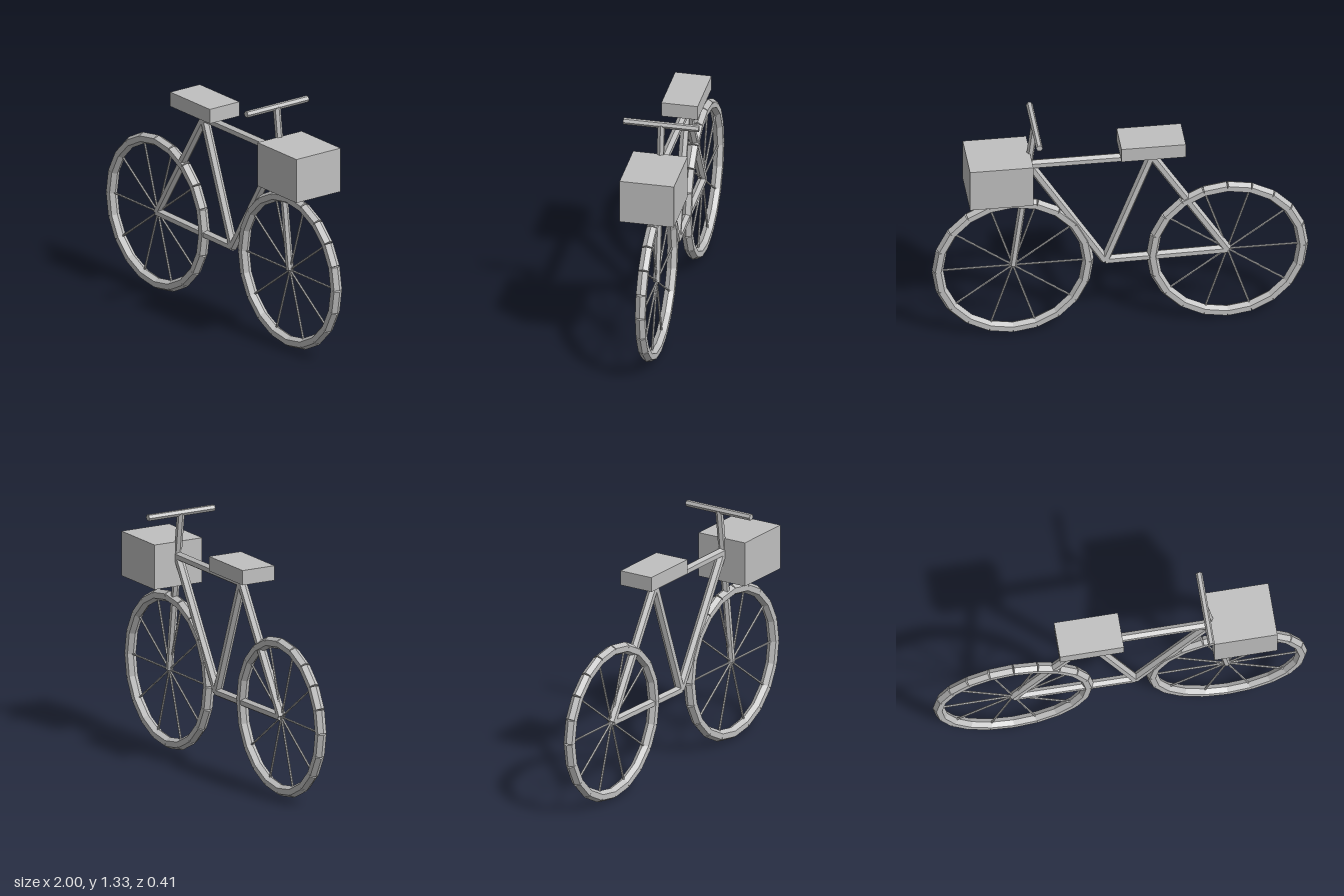
import * as THREE from 'three';

export function createModel() {
  const model = new THREE.Group();
  model.name = 'bicycle';
  const grey = new THREE.MeshStandardMaterial({ color: 0xc0c0c0, flatShading: true });
  grey.name = 'grey';

  const add = (parent, name, geometry) => {
    const mesh = new THREE.Mesh(geometry, grey);
    mesh.name = name;
    parent.add(mesh);
    return mesh;
  };

  // Six-sided rod along y, with flat sides facing front and back
  const rod = (radius, length) =>
    new THREE.CylinderGeometry(radius, radius, length, 6, 1, false, Math.PI / 6);

  // Rod between two points of the xy plane
  const tube = (parent, name, [x1, y1], [x2, y2], radius) => {
    const mesh = add(parent, name, rod(radius, Math.hypot(x2 - x1, y2 - y1)));
    mesh.position.set((x1 + x2) / 2, (y1 + y2) / 2, 0);
    mesh.rotation.z = Math.atan2(x1 - x2, y2 - y1);
  };

  const box = (name, size, position) =>
    add(model, name, new THREE.BoxGeometry(...size)).position.set(...position);

  // Wheels: a tyre of straight segments and ten thin spokes
  const wheelRadius = 0.4, segments = 20, spokes = 10;
  const onRim = (angle) => [wheelRadius * Math.cos(angle), wheelRadius * Math.sin(angle)];
  const wheel = (name, [x, y]) => {
    const group = new THREE.Group();
    group.name = name;
    group.position.set(x, y, 0);
    const step = (Math.PI * 2) / segments;
    for (let i = 0; i < segments; i++) {
      tube(group, 'tyreSegment', onRim(i * step), onRim((i + 1) * step), 0.0305);
    }
    for (let i = 0; i < spokes; i++) {
      tube(group, 'spoke', [0, 0], onRim((i / spokes) * Math.PI * 2), 0.006);
    }
    model.add(group);
  };

  // Joints of the frame
  const rearHub = [-0.57, 0.43], frontHub = [0.57, 0.43];
  const crank = [0.08, 0.42], seatTop = [-0.167, 1.07], head = [0.482, 1.07];
  const stemTop = [0.455, 1.31];

  wheel('rearWheel', rearHub);
  wheel('frontWheel', frontHub);

  // Frame
  const frameRadius = 0.025;
  tube(model, 'chainStay', rearHub, crank, frameRadius);
  tube(model, 'seatStay', rearHub, seatTop, frameRadius);
  tube(model, 'seatTube', crank, seatTop, frameRadius);
  tube(model, 'topTube', seatTop, head, frameRadius);
  tube(model, 'downTube', crank, head, frameRadius);

  // Fork and handlebar
  tube(model, 'forkAndStem', frontHub, stemTop, 0.0205);
  const handlebar = add(model, 'handlebar', rod(0.018, 0.406));
  handlebar.position.set(stemTop[0], stemTop[1], 0);
  handlebar.rotation.x = Math.PI / 2;

  // Saddle and front basket
  box('saddle', [0.342, 0.08, 0.196], [-0.166, 1.148, 0]);
  box('basket', [0.337, 0.243, 0.293], [0.648, 1.027, 0]);

  return model;
}
